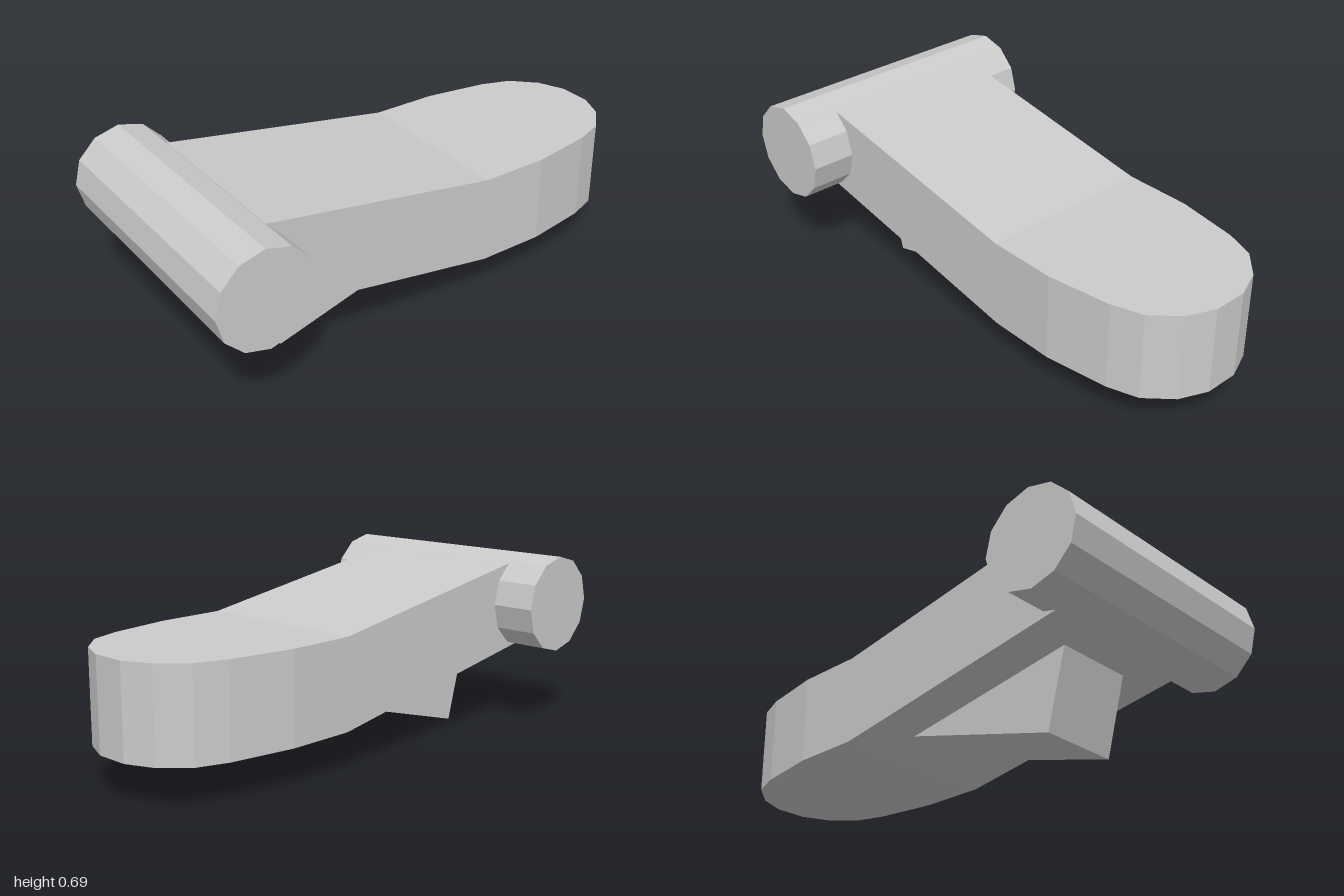
import * as THREE from 'three';

const material = new THREE.MeshStandardMaterial({ color: 0xcccccc, flatShading: true });

function addPart(group, name, geometry) {
  const mesh = new THREE.Mesh(geometry, material);
  mesh.name = name;
  group.add(mesh);
  return mesh;
}

// Joins rectangular sections [z, halfWidth, bottom, top], listed front to back
function loftSections(sections) {
  const positions = [];
  const index = [];
  for (const [z, w, bottom, top] of sections) {
    positions.push(-w, bottom, z, w, bottom, z, w, top, z, -w, top, z);
  }
  const last = (sections.length - 1) * 4;
  for (let a = 0; a < last; a += 4) {
    for (let i = 0; i < 4; i++) {
      const j = (i + 1) % 4;
      index.push(a + i, a + 4 + i, a + 4 + j, a + i, a + 4 + j, a + j);
    }
  }
  index.push(0, 1, 2, 0, 2, 3);
  index.push(last, last + 2, last + 1, last, last + 3, last + 2);
  const geometry = new THREE.BufferGeometry();
  geometry.setAttribute('position', new THREE.Float32BufferAttribute(positions, 3));
  geometry.setIndex(index);
  const flat = geometry.toNonIndexed();
  flat.computeVertexNormals();
  return flat;
}

export function createModel() {
  const group = new THREE.Group();

  // Arm: rising straight section, level section and rounded back end
  const bendZ = -0.235;
  const outline = [
    [0.8, 0.343], [bendZ, 0.343], [-0.5, 0.343], [-0.75, 0.303],
    [-0.865, 0.262], [-0.955, 0.172], [-1, 0.065],
  ];
  const sections = outline.map(([z, w]) => {
    const rise = Math.max(0, z - bendZ) * 0.164;
    return [z, w, 0.152 + rise, 0.497 + rise];
  });
  addPart(group, 'arm', loftSections(sections));

  // Crossbar at the front
  const bar = addPart(group, 'crossbar', new THREE.CylinderGeometry(0.19, 0.19, 1.03, 12));
  bar.rotation.z = Math.PI / 2;
  bar.position.set(0, 0.495, 0.81);

  // Tilted block sunk into the underside
  const block = addPart(group, 'lowerBlock', new THREE.BoxGeometry(0.327, 0.32, 0.67));
  block.rotation.x = 0.272;
  block.position.set(0, 0.244, 0.292);

  return group;
}
